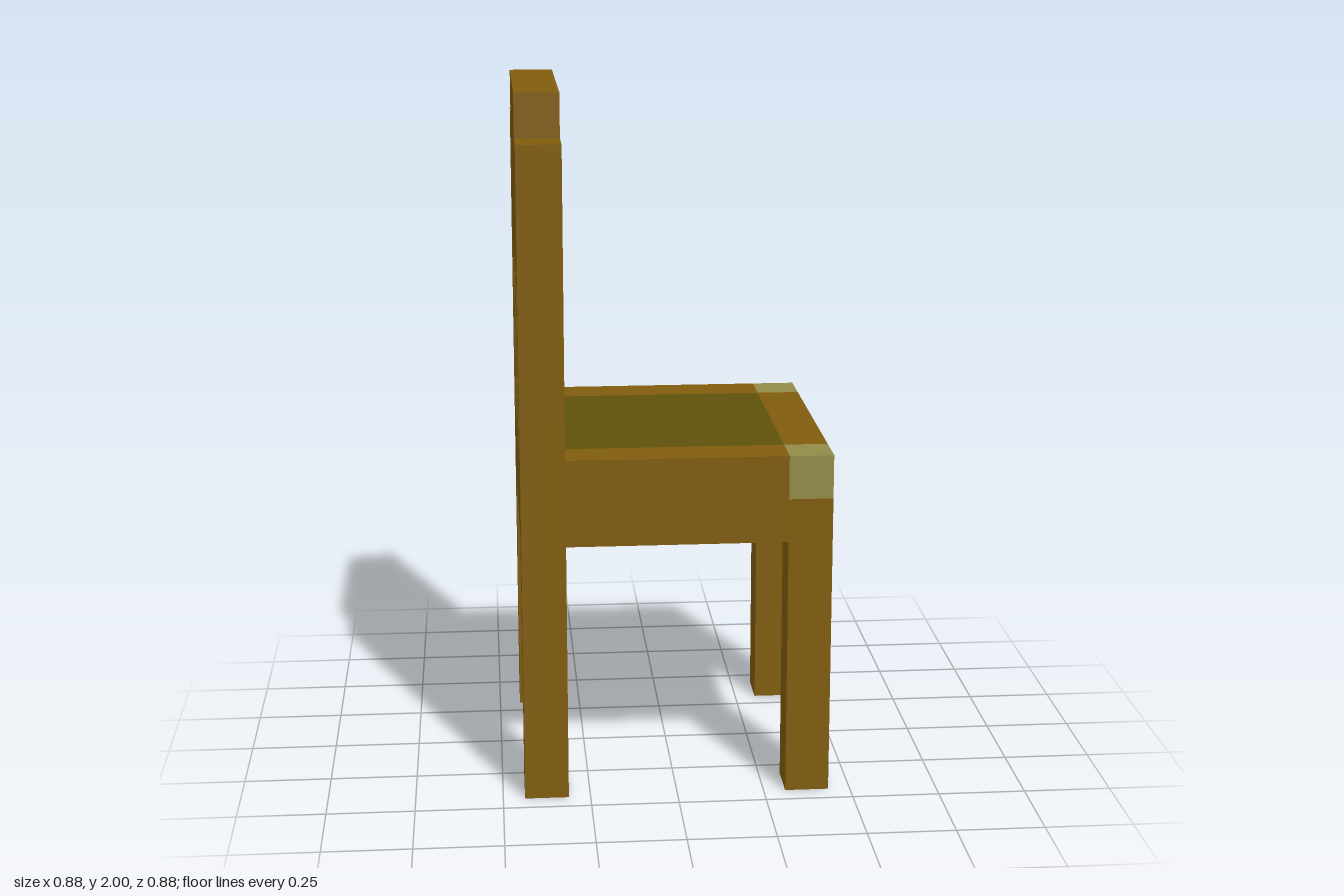
import * as THREE from 'three';

const U = 0.125;            // one block
const OUT = 3.5 * U;        // half width of the chair
const IN = 2.5 * U;         // inner face of legs and rails

const wood = new THREE.MeshStandardMaterial({ color: 0x805c0c });
const cushion = new THREE.MeshStandardMaterial({ color: 0x5f520c });
const pale = new THREE.MeshStandardMaterial({ color: 0x938c48 });

function box(name, material, size, position) {
  const mesh = new THREE.Mesh(new THREE.BoxGeometry(...size), material);
  mesh.name = name;
  mesh.position.set(...position);
  return mesh;
}

// Board one block thick, cut from a z-y outline mirrored about z = 0
function board(name, half, slots, xMax) {
  const points = [...half, ...half.map(([z, y]) => [-z, y]).reverse()];
  const shape = new THREE.Shape(points.map(([z, y]) => new THREE.Vector2(z, y)));
  for (const z of slots) {
    const h = U / 2;
    shape.holes.push(new THREE.Path([
      new THREE.Vector2(z - h, 1), new THREE.Vector2(z - h, 1.5),
      new THREE.Vector2(z + h, 1.5), new THREE.Vector2(z + h, 1),
    ]));
  }
  const geometry = new THREE.ExtrudeGeometry(shape, { depth: U, bevelEnabled: false });
  const mesh = new THREE.Mesh(geometry, wood);
  mesh.name = name;
  mesh.rotation.y = -Math.PI / 2;
  mesh.position.x = xMax;
  return mesh;
}

export function createModel() {
  const chair = new THREE.Group();
  chair.name = 'chair';

  // Back legs, rail and slotted backrest in one board
  chair.add(board('backrestAndBackLegs',
    [[IN, 0.75], [IN, 0], [OUT, 0], [OUT, 1.875], [IN, 1.875], [IN, 2]],
    [-2 * U, 0, 2 * U], -IN));

  // Front legs and rail, notched for the corner blocks
  chair.add(board('frontLegsAndRail',
    [[IN, 0.75], [IN, 0], [OUT, 0], [OUT, 0.875], [IN, 0.875], [IN, 1]],
    [], OUT));

  // Side rails and pale front corner blocks
  for (const s of [-1, 1]) {
    chair.add(box('sideRail', wood, [2 * IN, 2 * U, U], [0, 0.875, s * 3 * U]));
    chair.add(box('cornerBlock', pale, [U, U, U], [3 * U, 1 - U / 2, s * 3 * U]));
  }

  // Seat panel, flush on top and recessed underneath
  chair.add(box('seatPanel', cushion, [2 * IN, U, 2 * IN], [0, 1 - U / 2, 0]));

  return chair;
}
